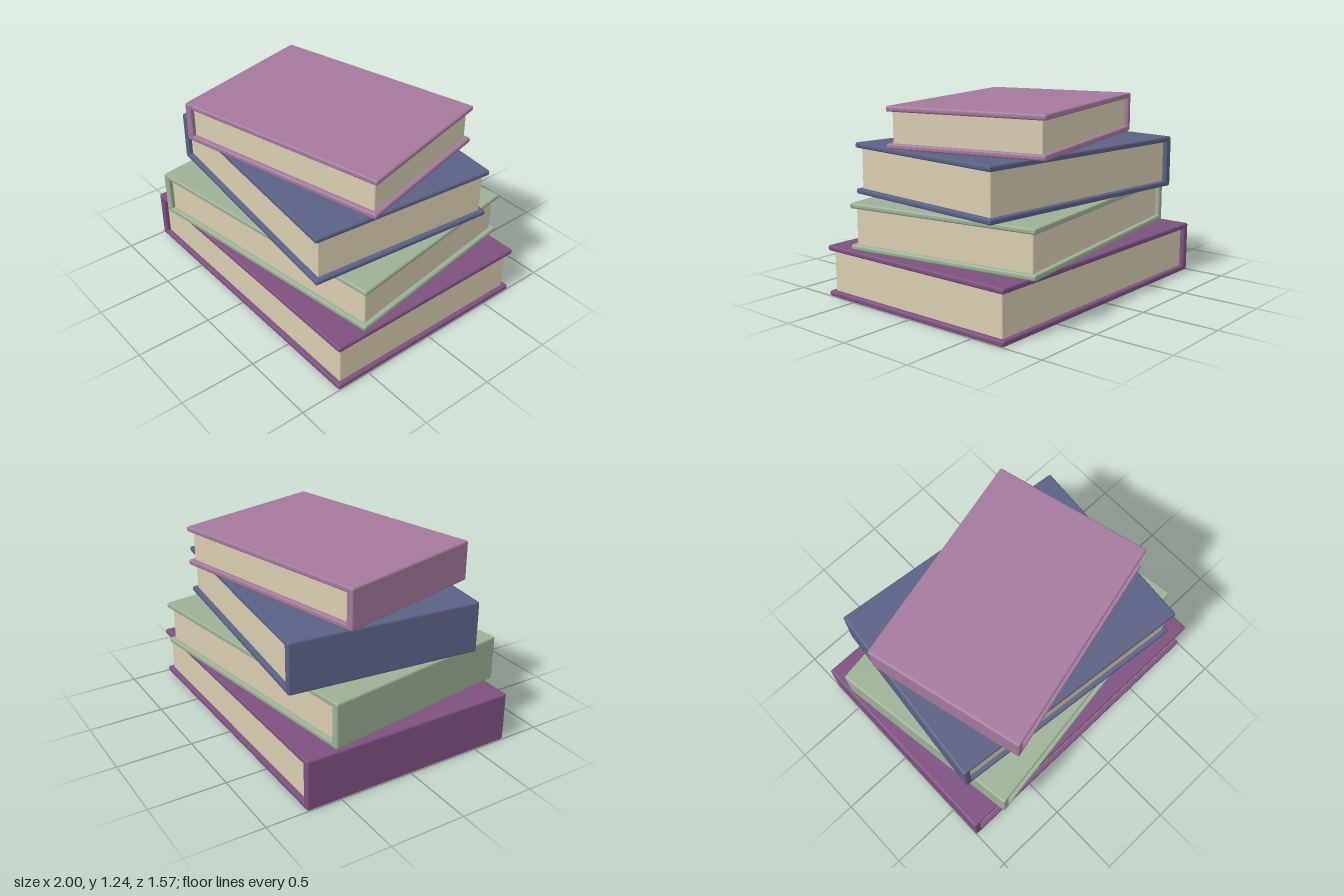
import * as THREE from 'three';
import { RoundedBoxGeometry } from 'three/addons/geometries/RoundedBoxGeometry.js';

const BOARD = 0.035; // cover board thickness
const SPINE = 0.048; // spine thickness
const INSET = 0.03;  // how far the pages sit inside the boards
const BEVEL = 0.01;  // softened cover edges

// Closed outline through the corners, each one softened by radius r
function softOutline(corners, r) {
  const shape = new THREE.Shape();
  const n = corners.length;
  corners.forEach((p, i) => {
    const before = corners[(i + n - 1) % n].clone().sub(p).setLength(r).add(p);
    const after = corners[(i + 1) % n].clone().sub(p).setLength(r).add(p);
    if (i === 0) shape.moveTo(before.x, before.y);
    else shape.lineTo(before.x, before.y);
    shape.quadraticCurveTo(p.x, p.y, after.x, after.y);
  });
  shape.closePath();
  return shape;
}

// Two boards and a spine as one C-shaped section, swept along z
function coverGeometry(width, height, depth) {
  const b = BEVEL;
  const x0 = -width / 2 + b, x1 = width / 2 - b;
  const y0 = b, y1 = height - b;
  const xi = -width / 2 + SPINE - b;
  const yLow = BOARD - b, yHigh = height - BOARD + b;
  const corners = [
    [x0, y0], [x1, y0], [x1, yLow], [xi, yLow],
    [xi, yHigh], [x1, yHigh], [x1, y1], [x0, y1],
  ].map(([x, y]) => new THREE.Vector2(x, y));
  const geometry = new THREE.ExtrudeGeometry(softOutline(corners, 0.004), {
    depth: depth - 2 * b,
    bevelEnabled: true,
    bevelSize: b,
    bevelThickness: b,
    bevelSegments: 3,
    curveSegments: 3,
  });
  return geometry.translate(0, 0, -(depth - 2 * b) / 2);
}

function makeBook({ name, width, height, depth, y, turn }, coverMaterial, pageMaterial) {
  const book = new THREE.Group();
  book.name = name;

  const cover = new THREE.Mesh(coverGeometry(width, height, depth), coverMaterial);
  cover.name = 'cover';

  // Page block, slightly sunk into the boards and the spine
  const left = -width / 2 + SPINE - 0.012, right = width / 2 - INSET;
  const pages = new THREE.Mesh(
    new RoundedBoxGeometry(right - left, height - 2 * BOARD + 0.024, depth - 2 * INSET, 2, 0.008),
    pageMaterial,
  );
  pages.name = 'pages';
  pages.position.set((left + right) / 2, height / 2, 0);

  book.add(cover, pages);
  book.position.y = y;
  book.rotation.y = turn;
  return book;
}

export function createModel() {
  const material = (name, color) => {
    const m = new THREE.MeshStandardMaterial({ color });
    m.name = name;
    return m;
  };
  const paper = material('paper', 0xd9ccb0);

  // Stack from the bottom up
  const books = [
    { name: 'bottomBook', width: 2, height: 0.335, depth: 1.46, y: 0, turn: 0, colour: ['plum', 0x7e5080] },
    { name: 'secondBook', width: 1.795, height: 0.3, depth: 1.325, y: 0.335, turn: 0.146, colour: ['sage', 0x9db096] },
    { name: 'thirdBook', width: 1.665, height: 0.335, depth: 1.262, y: 0.635, turn: -0.099, colour: ['slateBlue', 0x5b6185] },
    { name: 'topBook', width: 1.464, height: 0.265, depth: 1.06, y: 0.97, turn: 0.245, colour: ['mauve', 0xa4799c] },
  ];

  const stack = new THREE.Group();
  stack.name = 'bookStack';
  for (const spec of books) stack.add(makeBook(spec, material(...spec.colour), paper));
  return stack;
}
